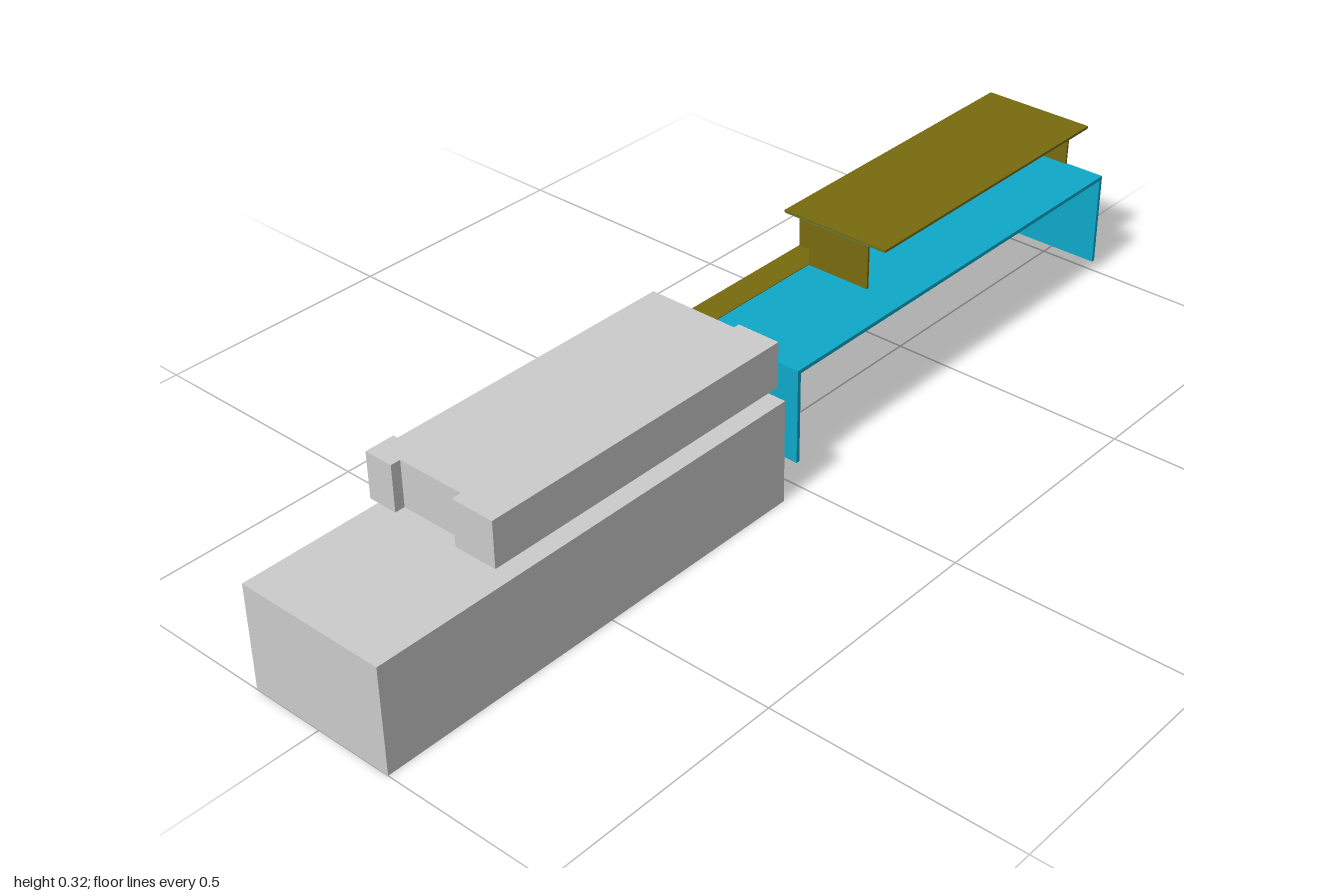
import * as THREE from 'three';

const grey = new THREE.MeshStandardMaterial({ color: 0xcccccc, flatShading: true });
const cyan = new THREE.MeshStandardMaterial({ color: 0x0ea9c9, flatShading: true });
const olive = new THREE.MeshStandardMaterial({ color: 0x786b0f, flatShading: true });

// Box given by its limits on each axis
function block(name, material, [x0, x1], [y0, y1], [z0, z1]) {
  const mesh = new THREE.Mesh(new THREE.BoxGeometry(x1 - x0, y1 - y0, z1 - z0), material);
  mesh.position.set((x0 + x1) / 2, (y0 + y1) / 2, (z0 + z1) / 2);
  mesh.name = name;
  return mesh;
}

function extrude(points, depth) {
  const shape = new THREE.Shape(points.map(([a, b]) => new THREE.Vector2(a, b)));
  return new THREE.ExtrudeGeometry(shape, { depth, bevelEnabled: false });
}

function createSolidVolumes() {
  const group = new THREE.Group();
  group.name = 'solidVolumes';
  group.add(block('lowerStorey', grey, [-1, -0.053], [0, 0.214], [-0.15, 0.16]));

  // Upper storey: plan outline (x, z) with a corner block and a wider front
  const plan = [
    [-0.725, 0.13], [-0.037, 0.13], [-0.037, 0.04], [-0.05, 0.04], [-0.05, -0.15],
    [-0.665, -0.15], [-0.665, -0.16], [-0.725, -0.16], [-0.725, -0.1], [-0.705, -0.1],
    [-0.705, 0.04], [-0.725, 0.04],
  ];
  const upper = new THREE.Mesh(extrude(plan, 0.093).rotateX(Math.PI / 2), grey);
  upper.position.y = 0.315;
  upper.name = 'upperStorey';
  group.add(upper);
  return group;
}

function createShell() {
  const group = new THREE.Group();
  group.name = 'openShell';
  const low = [0.025, 0.222];
  const high = [0.222, 0.315];

  // Lower lining: open at the front and underneath
  group.add(
    block('lowerDeck', cyan, [0.026, 0.999], [0.214, 0.222], [-0.155, 0.124]),
    block('backLining', cyan, [0.026, 0.999], [0.025, 0.222], [-0.155, -0.148]),
    block('rightEndLining', cyan, [0.026, 0.034], low, [-0.155, 0.124]),
    block('leftEndLining', cyan, [0.991, 0.999], low, [-0.155, 0.124]),
  );

  // Lower cladding around the back
  group.add(
    block('backCladding', olive, [0.025, 1], [0.025, 0.223], [-0.16, -0.155]),
    block('rightEndCladding', olive, [0.025, 0.03], [0.025, 0.223], [-0.16, -0.1]),
    block('deckStrip', olive, [0.025, 0.376], [0.221, 0.2235], [-0.16, -0.1]),
  );

  // Full height end wall, outline in (z, y)
  const outline = [[-0.16, 0.025], [0.034, 0.025], [0.039, 0.315], [-0.16, 0.315]];
  const end = new THREE.Mesh(extrude(outline, 0.005).rotateY(-Math.PI / 2), olive);
  end.position.x = 1;
  end.name = 'leftEndWall';
  group.add(end);

  // Upper walls with a notched back corner, under an overhanging roof
  group.add(
    block('upperBackWall', olive, [0.375, 1], high, [-0.16, -0.155]),
    block('notchSide', olive, [0.375, 0.38], high, [-0.16, -0.095]),
    block('notchBack', olive, [0.33, 0.38], high, [-0.1, -0.095]),
    block('upperRightWall', olive, [0.33, 0.335], high, [-0.1, 0.04]),
    block('roof', olive, [0.329, 1], [0.315, 0.32], [-0.16, 0.08]),
    block('roofLining', cyan, [0.33, 0.999], [0.3135, 0.315], [-0.1595, 0.079]),
  );
  return group;
}

export function createModel() {
  const model = new THREE.Group();
  model.name = 'twoStoreyMassing';
  model.add(createSolidVolumes(), createShell());
  return model;
}
